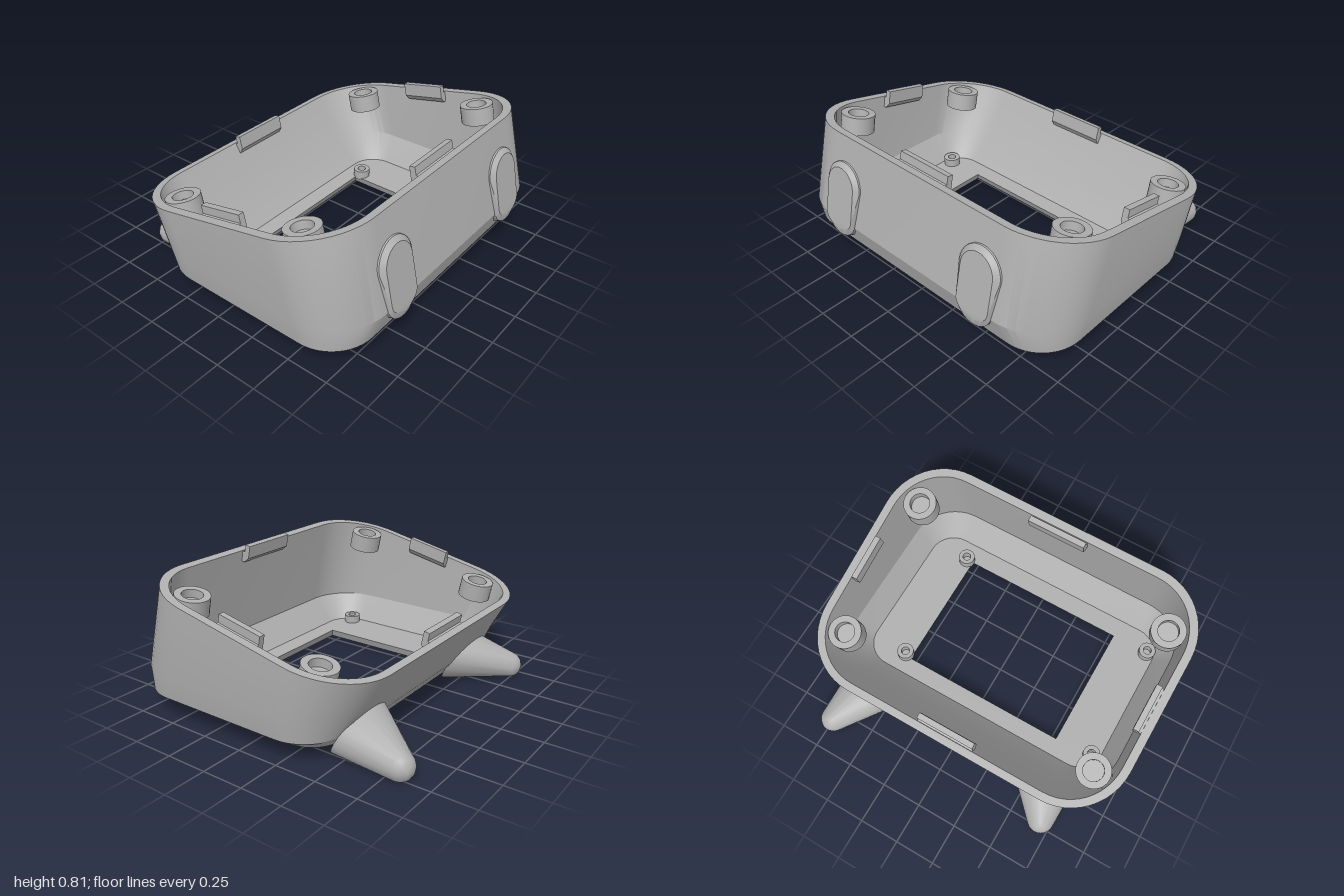
import * as THREE from 'three';
import { toCreasedNormals } from 'three/addons/utils/BufferGeometryUtils.js';
import { ConvexGeometry } from 'three/addons/geometries/ConvexGeometry.js';

const TILT = 0.21; // slope of the open rim, radians
const rimY = (z) => 0.78 - 0.213 * (0.745 - z);
const V = (x, y, z) => new THREE.Vector3(x, y, z);

// Rounded rectangle ring; y is a height or a function of z
function ring(hx, z0, z1, r, y, n = 12) {
  const pts = [];
  const corners = [[hx - r, z1 - r], [-hx + r, z1 - r], [-hx + r, z0 + r], [hx - r, z0 + r]];
  corners.forEach(([cx, cz], q) => {
    for (let i = 0; i <= n; i++) {
      const a = (q + i / n) * Math.PI / 2;
      const z = cz + r * Math.sin(a);
      pts.push(V(cx + r * Math.cos(a), typeof y === 'function' ? y(z) : y, z));
    }
  });
  return pts;
}

// Skin between successive rings
function loft(rings) {
  const n = rings[0].length, index = [];
  for (let i = 0; i < rings.length - 1; i++) {
    for (let j = 0; j < n; j++) {
      const k = (j + 1) % n;
      const a = i * n + j, b = i * n + k, c = a + n, d = b + n;
      index.push(a, c, b, b, c, d);
    }
  }
  const g = new THREE.BufferGeometry().setFromPoints(rings.flat());
  g.setIndex(index);
  return g;
}

export function createModel() {
  const model = new THREE.Group();
  model.name = 'tiltedEnclosure';
  const gray = new THREE.MeshStandardMaterial({ color: 0xb0b0b0 });
  gray.name = 'gray plastic';

  const add = (parent, name, geometry, crease = 0.5) => {
    const mesh = new THREE.Mesh(toCreasedNormals(geometry, crease), gray);
    mesh.name = name;
    parent.add(mesh);
    return mesh;
  };

  // Shell: underside, outer wall, rim, inner wall, floor and window edge
  const windowBottom = ring(0.55, -0.255, 0.57, 0, 0);
  add(model, 'shell', loft([
    windowBottom,
    ring(0.72, -0.38, 0.68, 0.14, 0),
    ring(0.85, -0.415, 0.725, 0.2, 0.04),
    ring(0.98, -0.49, 0.82, 0.26, 0.13),
    ring(1.0, -0.567, 0.86, 0.34, 0.27),
    ring(1.0, -0.685, 0.745, 0.37, rimY),
    ring(0.95, -0.64, 0.695, 0.32, rimY),
    ring(0.92, -0.48, 0.79, 0.28, 0.21),
    ring(0.82, -0.34, 0.67, 0.16, 0.05),
    ring(0.53, -0.235, 0.55, 0, 0.05),
    windowBottom,
  ]), 0.4);

  // Parts square to the sloping rim
  const rim = new THREE.Group();
  rim.name = 'rimFittings';
  rim.position.y = rimY(0);
  rim.rotation.x = -TILT;
  model.add(rim);

  // Screw bosses in the corners
  const bossProfile = [[0, -0.12], [0.1, -0.12], [0.1, -0.01], [0.06, -0.01], [0.06, -0.06], [0, -0.06]]
    .map(([x, y]) => new THREE.Vector2(x, y));
  for (const x of [-0.82, 0.82]) {
    for (const z of [-0.415, 0.47]) {
      add(rim, 'screwBoss', new THREE.LatheGeometry(bossProfile, 32)).position.set(x, 0, z);
    }
  }

  // Snap clips, one on the middle of each side
  const clipShape = new THREE.Shape([[0, 0.045], [0, -0.035], [0.03, -0.07], [0.055, -0.07],
    [0.055, -0.008], [0.035, -0.002], [0.035, 0.045]].map(([x, y]) => new THREE.Vector2(x, y)));
  const clip = (length, x, z, turn) => {
    const g = new THREE.ExtrudeGeometry(clipShape, { depth: length, bevelEnabled: false });
    g.translate(0, 0, -length / 2);
    const mesh = add(rim, 'snapClip', g, 0.2);
    mesh.position.set(x, 0, z);
    mesh.rotation.y = turn;
  };
  clip(0.28, 0.9, 0.025, 0);
  clip(0.28, -0.9, 0.025, Math.PI);
  clip(0.36, 0, 0.658, -Math.PI / 2);
  clip(0.36, 0, -0.605, Math.PI / 2);

  // Small hollow posts on the floor
  const postProfile = [[0.052, 0.04], [0.052, 0.1], [0.026, 0.1], [0.026, 0.05], [0, 0.05]]
    .map(([x, y]) => new THREE.Vector2(x, y));
  for (const x of [-0.765, 0.575]) {
    for (const z of [-0.22, 0.55]) {
      add(model, 'floorPost', new THREE.LatheGeometry(postProfile, 24)).position.set(x, 0, z);
    }
  }

  // Raised oval pads on the front wall
  const wallZ = (y) => 0.745 + 0.213 * (0.78 - y);
  for (const side of [-1, 1]) {
    const pts = [];
    const arc = (from, r, ry, cy, offset) => {
      for (let i = 0; i <= 16; i++) {
        const a = from + i / 16 * Math.PI;
        const y = cy + ry * Math.sin(a);
        pts.push(V(side * 0.538 + r * Math.cos(a), y, wallZ(y) + offset));
      }
    };
    arc(0, 0.11, 0.11, 0.5, 0.036);
    arc(0, 0.14, 0.14, 0.493, 0.012);
    arc(0, 0.14, 0.14, 0.493, -0.01);
    arc(Math.PI, 0.11, 0.07, 0.31, 0.036);
    arc(Math.PI, 0.115, 0.09, 0.28, 0.012);
    arc(Math.PI, 0.1, 0.095, 0.26, -0.035);
    add(model, side > 0 ? 'leftFrontPad' : 'rightFrontPad', new ConvexGeometry(pts), 0.55);
  }

  // Rear feet: wide root on the back wall, rounded tip, flat underside
  const foot = (name, tipX, tipZ, rootX) => {
    const pts = [];
    for (let i = 0; i < 24; i++) {
      const a = i / 24 * Math.PI * 2;
      // root outline lying in the sloping wall
      const y = Math.max(0, 0.1 + 0.145 * Math.sin(a));
      pts.push(V(rootX + 0.22 * Math.cos(a), y, -0.41 - 0.54 * y));
      // tip dome
      for (let j = 0; j <= 8; j++) {
        const b = (j / 8 - 0.5) * Math.PI;
        pts.push(V(tipX + 0.08 * Math.cos(b) * Math.cos(a),
          Math.max(0, 0.065 + 0.08 * Math.sin(b)),
          tipZ + 0.08 * Math.cos(b) * Math.sin(a)));
      }
    }
    add(model, name, new ConvexGeometry(pts), 0.6);
  };
  foot('leftRearFoot', 0.73, -0.813, 0.585);
  foot('rightRearFoot', -0.685, -0.717, -0.55);

  return model;
}
